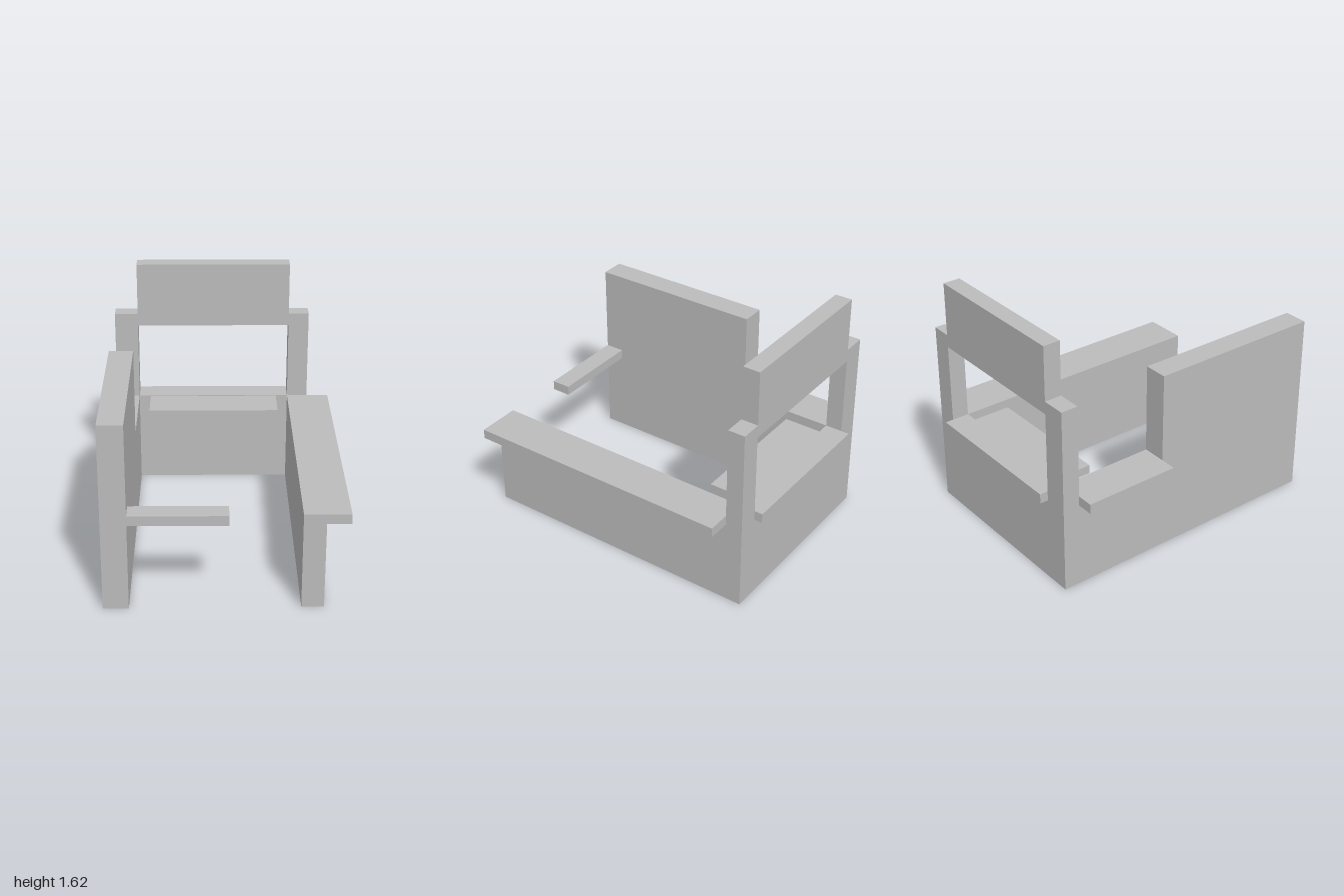
import * as THREE from 'three';

const grey = new THREE.MeshStandardMaterial({ color: 0xbcbcbc });
grey.name = 'plain grey';

// Box given by its lower and upper limits on each axis
function slab(name, [x0, x1], [y0, y1], [z0, z1]) {
  const mesh = new THREE.Mesh(new THREE.BoxGeometry(x1 - x0, y1 - y0, z1 - z0), grey);
  mesh.position.set((x0 + x1) / 2, (y0 + y1) / 2, (z0 + z1) / 2);
  mesh.name = name;
  return mesh;
}

function outline(points) {
  return new THREE.Shape(points.map(([x, y]) => new THREE.Vector2(x, y)));
}

function extrude(name, shape, depth) {
  const mesh = new THREE.Mesh(new THREE.ExtrudeGeometry(shape, { depth, bevelEnabled: false }), grey);
  mesh.name = name;
  return mesh;
}

export function createModel() {
  const model = new THREE.Group();
  model.name = 'counterBooth';

  const outerR = -0.70, innerR = -0.54, innerL = 0.52, outerL = 0.66;
  const back = -0.945, backInner = -0.83;
  const shelfY = [0.575, 0.64];

  // Back wall: stepped top with a serving window
  const backShape = outline([
    [outerR, 0], [outerL, 0], [outerL, 1.26], [innerL, 1.26],
    [innerL, 1.62], [innerR, 1.62], [innerR, 1.26], [outerR, 1.26],
  ]);
  backShape.holes.push(outline([
    [innerR, shelfY[0]], [innerR, 1.175], [innerL, 1.175], [innerL, shelfY[0]],
  ]));
  const backWall = extrude('backWall', backShape, backInner - back);
  backWall.position.z = back;

  // Tall side wall, low at the rear; profile drawn in z and y
  const tallWall = extrude('tallSideWall', outline([
    [backInner, 0], [1, 0], [1, 1.235], [-0.185, 1.235], [-0.185, shelfY[0]], [backInner, shelfY[0]],
  ]), innerR - outerR);
  tallWall.rotation.y = -Math.PI / 2;
  tallWall.position.x = innerR;

  model.add(
    backWall,
    tallWall,
    slab('lowSideWall', [innerL, outerL], [0, shelfY[0]], [backInner, 0.985]),
    // Counters and shelves
    slab('longCounter', [innerL, 0.81], shelfY, [backInner, 0.985]),
    slab('shortCounter', [-0.81, innerR], shelfY, [backInner, -0.185]),
    slab('windowSill', [innerR, innerL], shelfY, [-1, backInner]),
    slab('innerShelf', [-0.46, 0.44], [0.578, 0.635], [backInner, -0.57]),
    slab('frontShelf', [innerR, 0.075], shelfY, [0.87, 1]),
  );
  return model;
}
